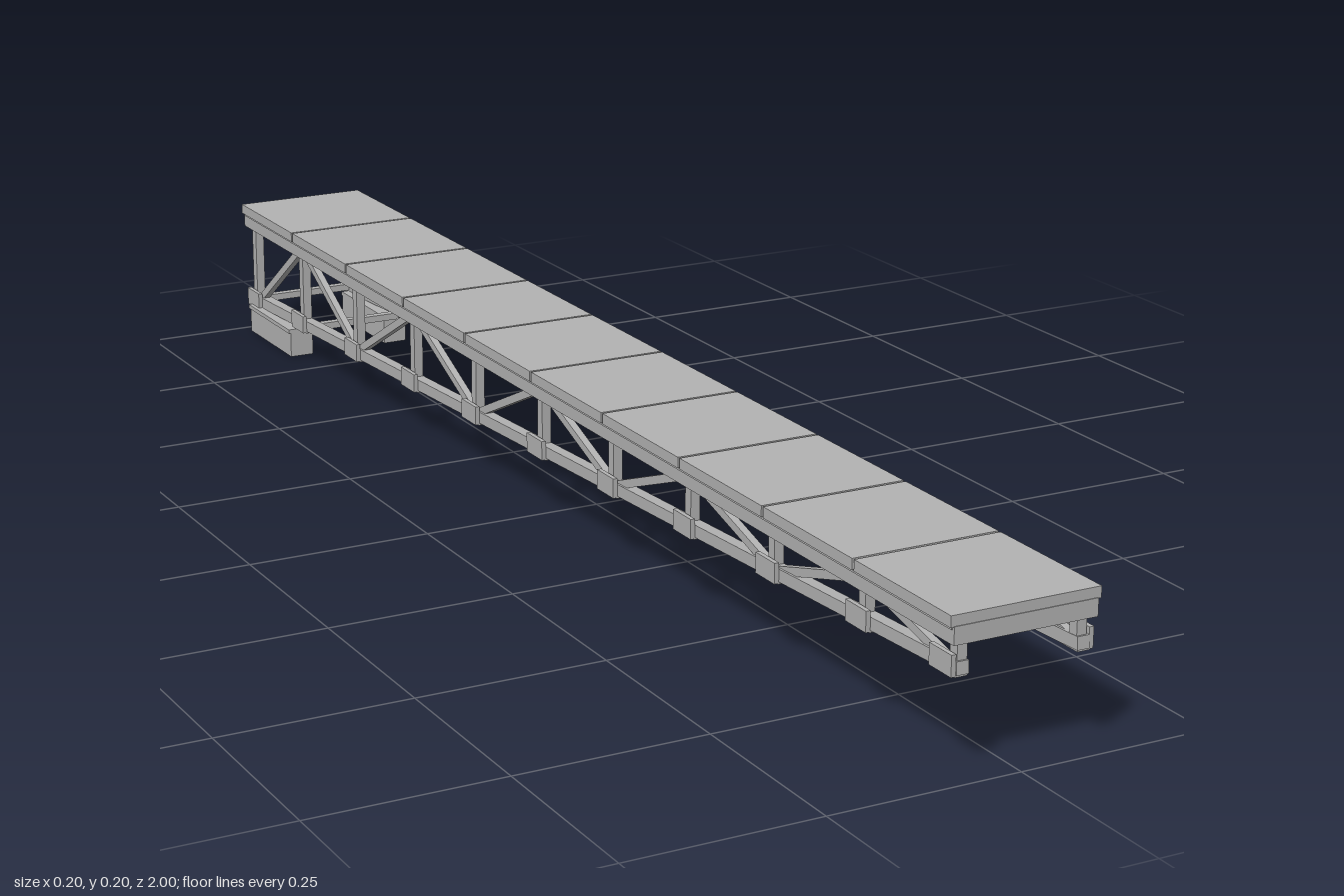
import * as THREE from 'three';

export function createModel() {
  const model = new THREE.Group();
  model.name = 'trussBridge';
  const steel = new THREE.MeshStandardMaterial({ color: 0xb2b2b2 });
  steel.name = 'grey steel';

  function box(name, w, h, d, x, y, z, parent = model) {
    const m = new THREE.Mesh(new THREE.BoxGeometry(w, h, d), steel);
    m.name = name;
    m.position.set(x, y, z);
    parent.add(m);
    return m;
  }

  // Straight member between two (z, y) points in a side plane
  function member(name, w, t, x, [z0, y0], [z1, y1], parent) {
    const dz = z1 - z0, dy = y1 - y0;
    const m = box(name, w, t, Math.hypot(dz, dy), x, (y0 + y1) / 2, (z0 + z1) / 2, parent);
    m.rotation.x = -Math.atan2(dy, dz);
  }

  // Height of the sloping bottom chord
  const chordY = (z) => 0.092 + 0.044 * z;
  const topY = 0.175;

  // Deck: ten panels with narrow joints above a continuous plate
  for (let i = 0; i < 10; i++) {
    box('deckPanel', 0.196, 0.014, 0.196, 0, 0.193, -0.9 + i * 0.2);
  }
  box('deckPlate', 0.19, 0.004, 1.99, 0, 0.184, 0);
  for (const z of [-0.99, 0.99]) box('endBeam', 0.188, 0.022, 0.018, 0, 0.176, z);

  // Side trusses
  for (const s of [-1, 1]) {
    const truss = new THREE.Group();
    truss.name = s > 0 ? 'leftTruss' : 'rightTruss';
    model.add(truss);
    const x = s * 0.079;

    box('topChord', 0.028, 0.02, 1.99, s * 0.08, topY, 0, truss);
    member('bottomChord', 0.016, 0.016, x, [-0.995, chordY(-0.995)], [0.995, chordY(0.995)], truss);

    // Posts and gusset plates at every panel point
    for (let i = 0; i <= 10; i++) {
      const z = THREE.MathUtils.clamp(-1 + i * 0.2, -0.985, 0.985);
      const y = chordY(z);
      box('post', 0.013, topY - y, 0.014, s * 0.078, (topY + y) / 2, z, truss);
      const gz = THREE.MathUtils.clamp(z, -0.975, 0.972);
      box('gusset', 0.006, 0.026, 0.044, s * 0.09, y + 0.004, gz, truss);
      box('gussetFoot', 0.016, 0.006, 0.044, s * 0.08, y - 0.007, gz, truss);
    }

    // Zigzag diagonals
    for (let i = 0; i < 10; i++) {
      const node = (k) => {
        const z = THREE.MathUtils.clamp(1 - k * 0.2, -0.975, 0.975);
        return [z, k % 2 ? topY : chordY(z)];
      };
      // Even panel points sit on the bottom chord, odd ones on the top
      member('diagonal', 0.01, 0.011, x, node(i), node(i + 1), truss);
    }

    // Bearing block with cap plate
    box('bearingBlock', 0.036, 0.037, 0.16, s * 0.078, 0.0185, -0.9, truss);
    box('bearingCap', 0.04, 0.006, 0.16, s * 0.079, 0.04, -0.9, truss);
  }

  // Bottom cross ties at the supported end
  for (const z of [-0.985, -0.8]) box('crossTie', 0.15, 0.01, 0.012, 0, 0.049, z);

  return model;
}
